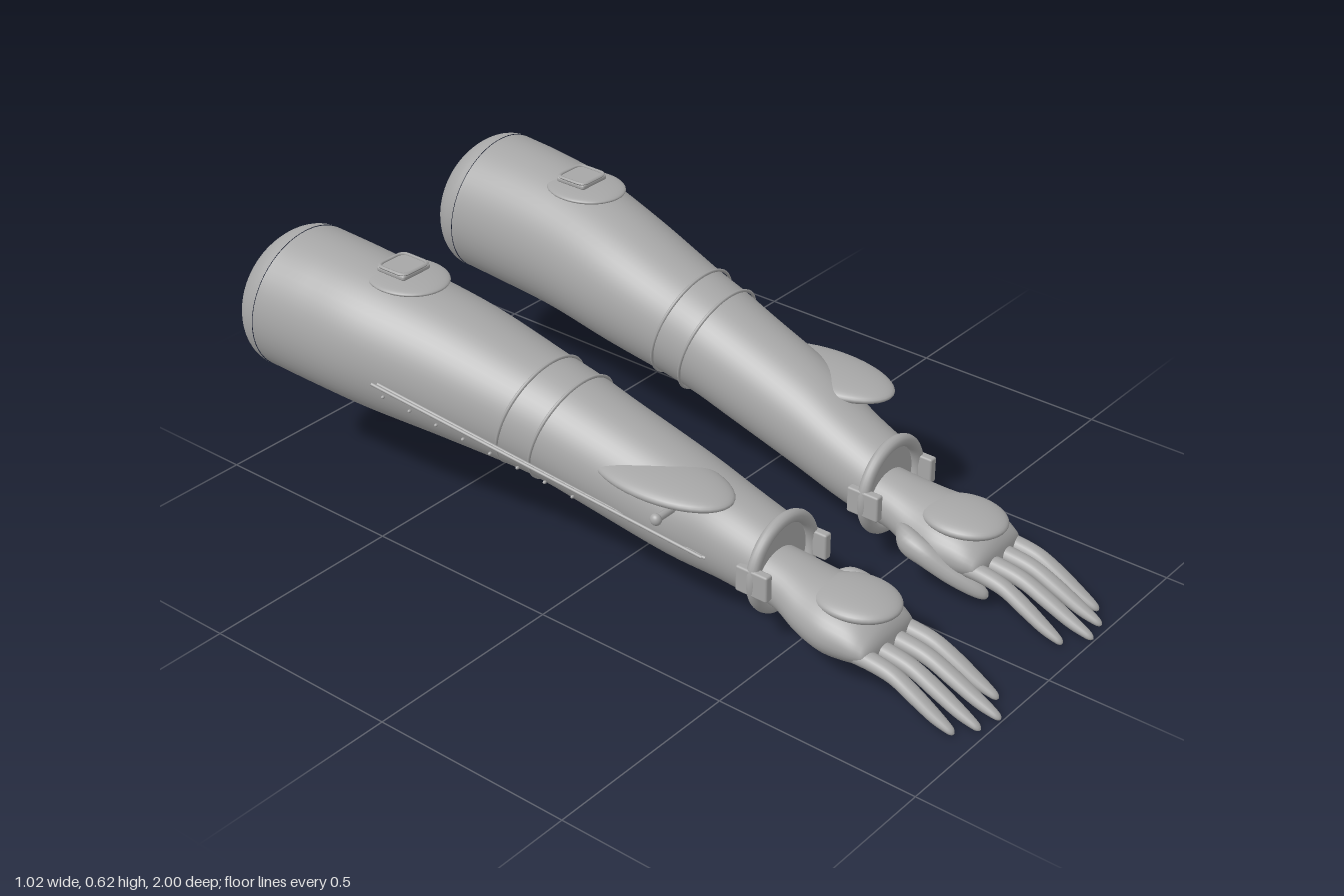
import * as THREE from 'three';
import { RoundedBoxGeometry } from 'three/addons/geometries/RoundedBoxGeometry.js';

const grey = new THREE.MeshStandardMaterial({ color: 0xa6a6a6 });
grey.name = 'grey';

// Smooth skin over elliptical sections [z, cx, cy, rx, ry, shear]
function loft(rows, steps, sides) {
  const mid = new THREE.CatmullRomCurve3(rows.map(r => new THREE.Vector3(r[0], r[1], r[2])), false, 'catmullrom', 0.5);
  const rad = new THREE.CatmullRomCurve3(rows.map(r => new THREE.Vector3(r[3], r[4], r[5] || 0)), false, 'catmullrom', 0.5);
  const pos = [], idx = [];
  for (let i = 0; i <= steps; i++) {
    const m = mid.getPoint(i / steps), r = rad.getPoint(i / steps);
    for (let j = 0; j < sides; j++) {
      const a = j / sides * Math.PI * 2, dy = Math.max(r.y, 0.0005) * Math.sin(a);
      pos.push(m.y + Math.max(r.x, 0.0005) * Math.cos(a), m.z + dy, m.x + r.z * dy);
      if (i < steps) {
        const p = i * sides + j, q = i * sides + (j + 1) % sides;
        idx.push(p, q, p + sides, q, q + sides, p + sides);
      }
    }
  }
  const g = new THREE.BufferGeometry();
  g.setAttribute('position', new THREE.Float32BufferAttribute(pos, 3));
  g.setIndex(idx);
  g.computeVertexNormals();
  return g;
}

// Mirror a geometry in x and keep its faces outward
function mirrored(g) {
  const m = g.index ? g.toNonIndexed() : g.clone();
  for (const name of ['position', 'normal']) {
    const src = m.attributes[name], out = src.clone();
    for (let i = 0; i < src.count; i++) {
      const k = i % 3 === 1 ? i + 1 : i % 3 === 2 ? i - 1 : i;
      out.setXYZ(i, -src.getX(k), src.getY(k), src.getZ(k));
    }
    m.setAttribute(name, out);
  }
  return m;
}

const ellipsoid = (x, y, z, rx, ry, rz) =>
  new THREE.SphereGeometry(1, 40, 24).scale(rx, ry, rz).translate(x, y, z);

// Straight round bar between two points
function bar(a, b, r) {
  const path = new THREE.LineCurve3(new THREE.Vector3(...a), new THREE.Vector3(...b));
  return new THREE.TubeGeometry(path, 1, r, 8, false);
}

export function createModel() {
  const model = new THREE.Group();
  model.name = 'armPair';
  const left = new THREE.Group(), right = new THREE.Group();
  left.name = 'leftArm';
  right.name = 'rightArm';
  model.add(left, right);
  const add = (name, geo) => {
    for (const [side, g] of [[left, geo], [right, mirrored(geo)]]) {
      const mesh = new THREE.Mesh(g, grey);
      mesh.name = name;
      side.add(mesh);
    }
  };

  // Sleeve from shoulder to wrist
  const arm = [
    [-0.88, 0.333, 0.438, 0.174, 0.18, 0.11],
    [-0.75, 0.329, 0.430, 0.171, 0.181, 0.06],
    [-0.6, 0.320, 0.417, 0.168, 0.177],
    [-0.4, 0.292, 0.388, 0.158, 0.163],
    [-0.2, 0.270, 0.351, 0.140, 0.142],
    [-0.1, 0.261, 0.330, 0.134, 0.136],
    [0.0, 0.253, 0.302, 0.128, 0.132],
    [0.2, 0.236, 0.247, 0.119, 0.122],
    [0.32, 0.217, 0.209, 0.105, 0.109],
    [0.43, 0.207, 0.178, 0.098, 0.098],
  ];
  add('sleeve', loft(arm, 60, 56));
  add('sleeveEnd', new THREE.CircleGeometry(0.098, 40).translate(0.207, 0.178, 0.43));

  // Rounded shoulder cap
  const dome = [90, 82, 70, 55, 40, 25, 12, 0].map(d => {
    const a = d * Math.PI / 180, c = Math.cos(a);
    return [-0.88 - 0.12 * Math.sin(a), 0.333, 0.438, 0.176 * c, 0.182 * c, 0.11];
  });
  add('shoulderCap', loft(dome, 28, 56));

  // Raised elbow bands, slightly proud of the sleeve
  for (const [z, cx, cy, rx, ry] of [[-0.115, 0.262, 0.333, 0.136, 0.138], [-0.2, 0.270, 0.351, 0.141, 0.143]]) {
    const pts = [];
    for (let i = 0; i < 40; i++) {
      const a = i / 40 * Math.PI * 2;
      pts.push(new THREE.Vector3(cx + rx * Math.cos(a), cy - 0.006 * Math.sin(a) + ry * Math.sin(a), z + 0.04 * Math.sin(a)));
    }
    add('elbowBand', new THREE.TubeGeometry(new THREE.CatmullRomCurve3(pts, true), 80, 0.004, 6, true));
  }

  // Shoulder plate with its square button
  add('shoulderPlate', ellipsoid(0.307, 0.583, -0.56, 0.087, 0.015, 0.103));
  add('shoulderButton', new RoundedBoxGeometry(0.088, 0.014, 0.088, 4, 0.006).translate(0.307, 0.603, -0.575));
  const rim = new THREE.TorusGeometry(0.042, 0.004, 6, 40).rotateX(Math.PI / 2);
  const rp = rim.attributes.position;
  for (let i = 0; i < rp.count; i++) {
    // push the circle out to a rounded square
    const x = rp.getX(i), z = rp.getZ(i), l = Math.hypot(x, z);
    const s = 1 / Math.pow((x / l) ** 6 + (z / l) ** 6, 1 / 6);
    rp.setXYZ(i, x * s, rp.getY(i), z * s);
  }
  rim.computeVertexNormals();
  add('buttonRim', rim.translate(0.307, 0.611, -0.575));

  // Forearm plate and the pin beneath it
  add('forearmPlate', ellipsoid(0.296, 0.333, 0.178, 0.095, 0.028, 0.187));
  add('platePin', bar([0.3, 0.293, 0.235], [0.39, 0.293, 0.235], 0.009));
  add('platePinHead', ellipsoid(0.388, 0.293, 0.235, 0.012, 0.014, 0.014));

  // Twin rails along the outer side, dotted with rivets
  const from = [0.5, 0.41, -0.5], to = [0.337, 0.205, 0.32];
  const shift = (p, dx, dy) => [p[0] + dx, p[1] + dy, p[2]];
  add('outerRail', bar(from, to, 0.004));
  add('innerRail', bar(shift(from, -0.018, -0.008), shift(to, -0.012, -0.008), 0.004));
  for (let i = 0; i < 8; i++) {
    const t = 0.05 + i * 0.083;
    const p = from.map((v, k) => v + (to[k] - v) * t);
    add('railRivet', ellipsoid(p[0] + 0.014, p[1] - 0.006, p[2], 0.005, 0.004, 0.004));
  }

  // Bracelet ring with side hinges
  add('bracelet', new THREE.TorusGeometry(0.106, 0.015, 14, 64).translate(0.203, 0.176, 0.437));
  for (const x of [0.097, 0.309])
    add('braceletHinge', new RoundedBoxGeometry(0.022, 0.065, 0.085, 2, 0.005).translate(x, 0.177, 0.44));

  // Hand and wrist
  add('hand', loft([
    [0.40, 0.207, 0.145, 0.072, 0.065],
    [0.47, 0.207, 0.138, 0.078, 0.063],
    [0.54, 0.210, 0.120, 0.095, 0.070],
    [0.61, 0.210, 0.112, 0.110, 0.073],
    [0.67, 0.210, 0.108, 0.107, 0.064],
    [0.71, 0.210, 0.103, 0.098, 0.047],
    [0.73, 0.210, 0.098, 0.080, 0.028],
    [0.738, 0.210, 0.096, 0.0, 0.0],
  ], 36, 40));
  add('handPlate', ellipsoid(0.205, 0.168, 0.638, 0.085, 0.026, 0.104));

  // Thumb folded along the palm
  add('thumb', loft([
    [0.51, 0.130, 0.125, 0.010, 0.015],
    [0.55, 0.105, 0.122, 0.027, 0.032],
    [0.61, 0.098, 0.108, 0.025, 0.030],
    [0.67, 0.113, 0.075, 0.022, 0.025],
    [0.72, 0.133, 0.048, 0.018, 0.020],
    [0.743, 0.142, 0.036, 0.011, 0.012],
    [0.75, 0.144, 0.032, 0, 0],
  ], 28, 16));

  // Fingers, drooping towards the tips
  for (const [x0, x1, tip] of [[0.136, 0.127, 0.955], [0.184, 0.184, 0.998], [0.236, 0.241, 0.985], [0.284, 0.287, 0.95]]) {
    const zAt = t => 0.69 + (tip - 0.69) * t;
    const rows = [[0, 0.092, 0.023], [0.2, 0.09, 0.022], [0.4, 0.081, 0.021], [0.6, 0.057, 0.021],
      [0.8, 0.03, 0.018], [0.94, 0.014, 0.012], [0.985, 0.009, 0.007], [1, 0.007, 0]];
    add('finger', loft(rows.map(([t, y, r]) => [zAt(t), x0 + (x1 - x0) * t, y, r, r * 0.85]), 30, 16));
  }
  return model;
}
